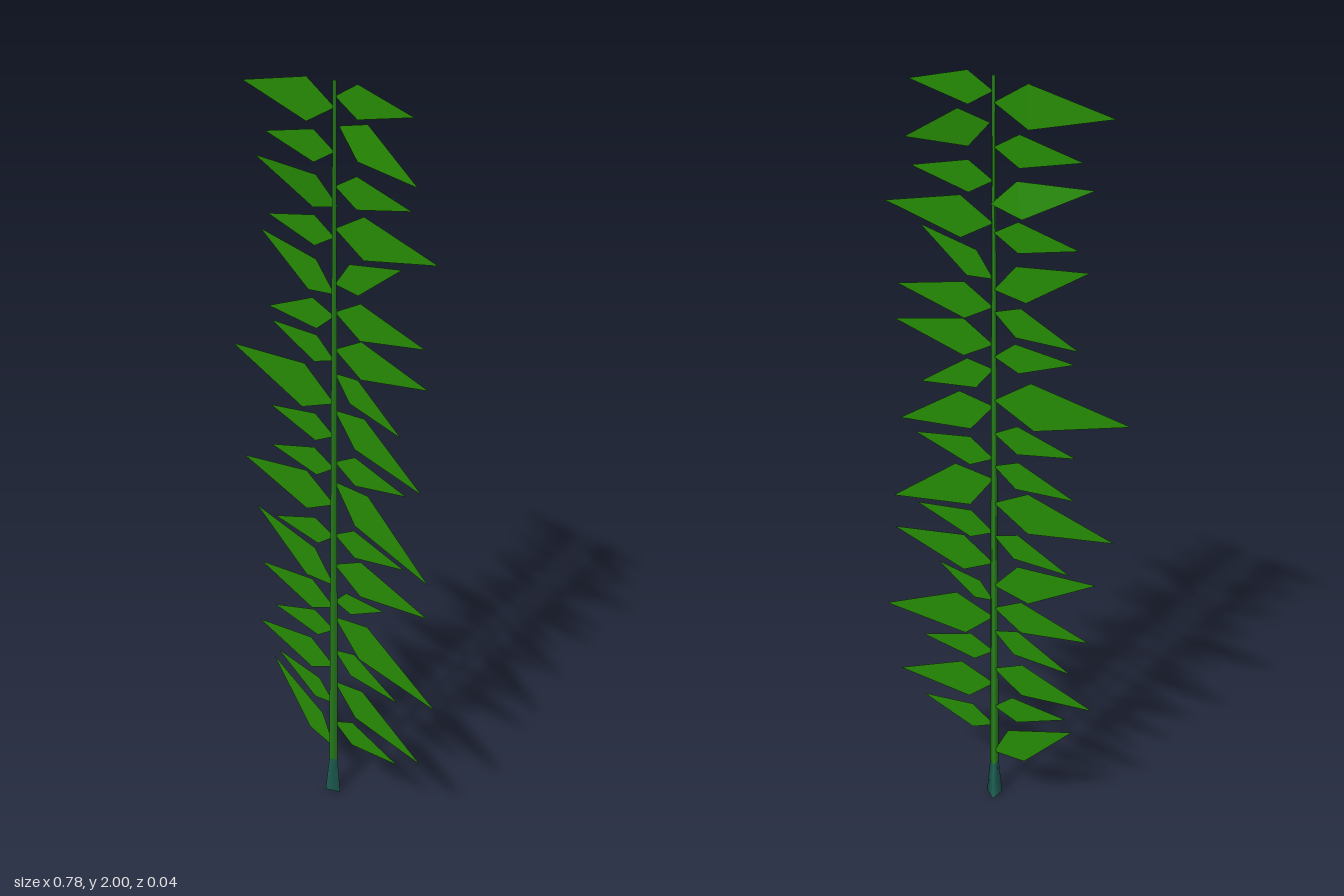
import * as THREE from 'three';

const leafGreen = new THREE.MeshStandardMaterial({ color: 0x268c04, side: THREE.DoubleSide });
leafGreen.name = 'leaf green';
const stemGreen = new THREE.MeshStandardMaterial({ color: 0x2b8a1e });
stemGreen.name = 'stem green';
const baseTeal = new THREE.MeshStandardMaterial({ color: 0x1f6458 });
baseTeal.name = 'base teal';

const STEM_X = 0.007;

// Each leaf: [root y, tip x, tip y, z of root, z of lower corner, z of tip, z of upper corner]
const leftSideLeaves = [ // on the -x side, top to bottom
  [1.94, -0.32, 1.945], [1.84, -0.24, 1.84], [1.71, -0.265, 1.78, -0.012, -0.013, 0.012, -0.004],
  [1.64, -0.235, 1.64], [1.5, -0.265, 1.595], [1.445, -0.24, 1.4],
  [1.33, -0.23, 1.365], [1.215, -0.39, 1.25], [1.125, -0.24, 1.125],
  [1.035, -0.24, 1.01], [0.93, -0.357, 0.932], [0.835, -0.23, 0.797],
  [0.685, -0.31, 0.797], [0.617, -0.294, 0.622], [0.545, -0.24, 0.505],
  [0.425, -0.31, 0.42], [0.3, -0.23, 0.357], [0.147, -0.25, 0.325],
];
const rightSideLeaves = [ // on the +x side, top to bottom
  [1.965, 0.256, 1.965], [1.897, 0.284, 1.823, -0.012, -0.004, 0.012, -0.013], [1.762, 0.256, 1.762],
  [1.662, 0.341, 1.662], [1.526, 0.23, 1.622], [1.456, 0.31, 1.456],
  [1.36, 0.324, 1.36], [1.297, 0.24, 1.208], [1.198, 0.314, 1.086],
  [1.054, 0.263, 1.06], [0.998, 0.346, 0.848], [0.843, 0.263, 0.853],
  [0.752, 0.346, 0.752], [0.638, 0.194, 0.696], [0.588, 0.386, 0.493],
  [0.48, 0.252, 0.44], [0.376, 0.341, 0.292], [0.238, 0.256, 0.238],
];

// Kite-shaped blade, widest at 30% of its length
function makeLeaf([rootY, tipX, tipY, rootZ = 0, lowerZ = 0, tipZ = 0, upperZ = 0]) {
  const dx = tipX - STEM_X, dy = tipY - rootY, side = Math.sign(dx);
  const mx = STEM_X + dx * 0.295, my = rootY + dy * 0.295;
  const wx = -dy * 0.155 * side, wy = dx * 0.155 * side;
  const geo = new THREE.BufferGeometry();
  geo.setAttribute('position', new THREE.Float32BufferAttribute([
    STEM_X, rootY, rootZ,
    mx - wx, my - wy, lowerZ,
    tipX, tipY, tipZ,
    mx + wx, my + wy, upperZ,
  ], 3));
  geo.setIndex(side > 0 ? [0, 1, 3, 1, 2, 3] : [0, 3, 1, 1, 3, 2]);
  const flat = geo.toNonIndexed();
  flat.computeVertexNormals();
  return new THREE.Mesh(flat, leafGreen);
}

// Three-sided tapering stalk piece with one edge towards +x, shaded smoothly around
function makeStalk(name, y0, y1, r0, r1, material, open) {
  const geo = new THREE.CylinderGeometry(r1, r0, y1 - y0, 3, 1, open, Math.PI / 2);
  const mesh = new THREE.Mesh(geo, material);
  mesh.position.set(STEM_X, (y0 + y1) / 2, 0);
  mesh.name = name;
  return mesh;
}

export function createModel() {
  const plant = new THREE.Group();
  plant.name = 'plant';

  // Stalk
  plant.add(
    makeStalk('stemBase', 0, 0.11, 0.025, 0.014, baseTeal, false),
    makeStalk('lowerStem', 0.11, 1.1, 0.014, 0.009, stemGreen, true),
    makeStalk('upperStem', 1.1, 2, 0.009, 0.005, stemGreen, false),
  );

  // Two rows of leaves
  for (const [name, rows] of [['leavesNegativeX', leftSideLeaves], ['leavesPositiveX', rightSideLeaves]]) {
    const group = new THREE.Group();
    group.name = name;
    rows.forEach((row, i) => {
      const leaf = makeLeaf(row);
      leaf.name = `leaf${i + 1}`;
      group.add(leaf);
    });
    plant.add(group);
  }
  return plant;
}
